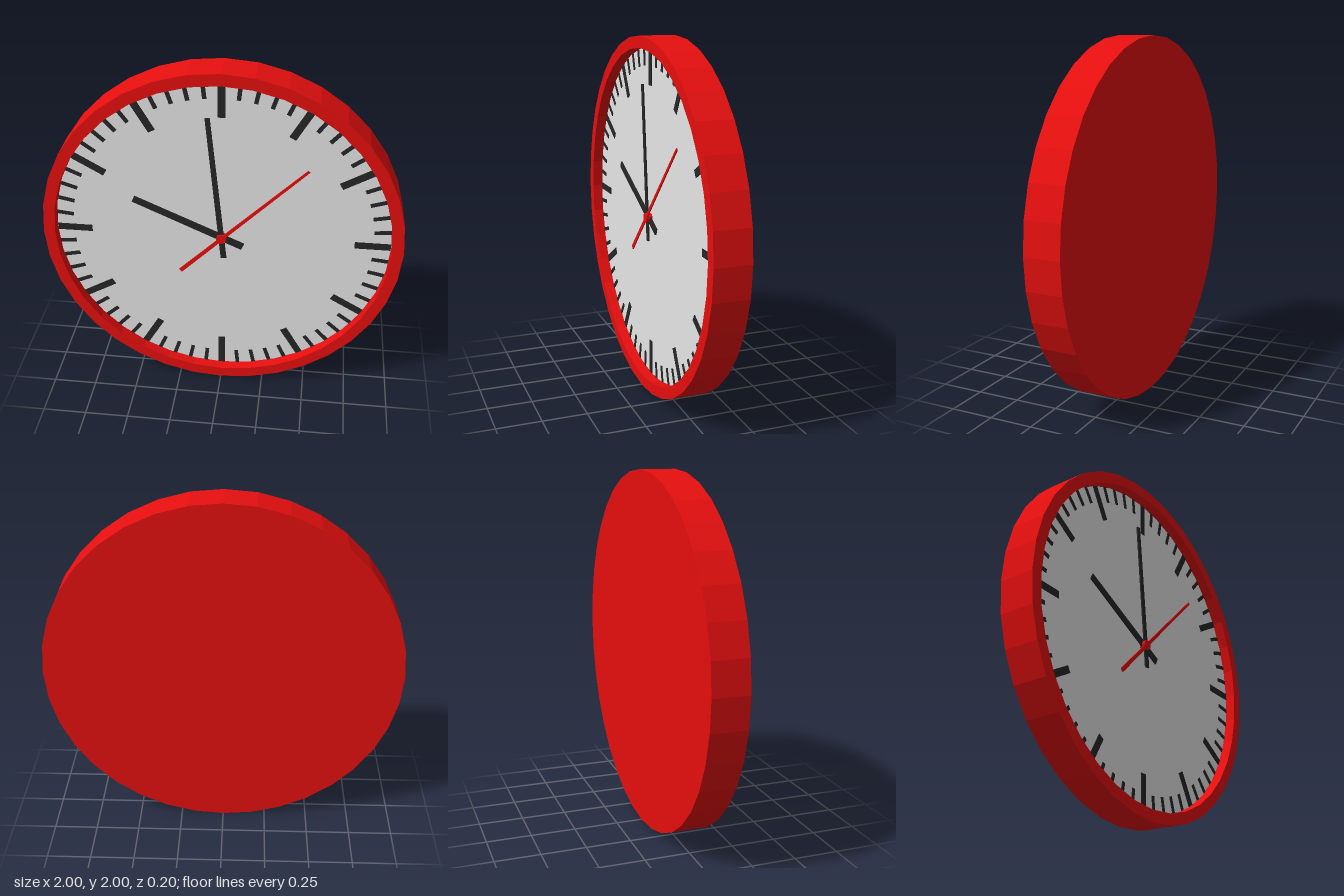
import * as THREE from 'three';

const RIM = 0.935;      // inner radius of the rim
const FACE_Z = 0.04;    // recessed dial plane
const SIDES = 36;

// Tapered bar pointing up (+y) from yBottom to yTop, extruded along +z
function bar(yBottom, yTop, wBottom, wTop, depth) {
  const s = new THREE.Shape([
    new THREE.Vector2(-wBottom / 2, yBottom),
    new THREE.Vector2(wBottom / 2, yBottom),
    new THREE.Vector2(wTop / 2, yTop),
    new THREE.Vector2(-wTop / 2, yTop),
  ]);
  return new THREE.ExtrudeGeometry(s, { depth, bevelEnabled: false });
}

export function createModel() {
  const mat = (name, color) => {
    const m = new THREE.MeshStandardMaterial({ color, flatShading: true });
    m.name = name;
    return m;
  };
  const red = mat('red', 0xe70f0f);
  const white = mat('dialWhite', 0xe7e7e7);
  const black = mat('black', 0x262626);

  const clock = new THREE.Group();
  clock.name = 'wallClock';
  clock.position.y = 1;

  const add = (parent, name, geometry, material, z = 0, angle = 0) => {
    const mesh = new THREE.Mesh(geometry, material);
    mesh.name = name;
    mesh.position.z = z;
    mesh.rotation.z = angle;
    parent.add(mesh);
    return mesh;
  };

  // Case: closed back, outer wall, front rim and inner wall
  const profile = [[0, -0.1], [1, -0.1], [1, 0.1], [RIM, 0.1], [RIM, FACE_Z]]
    .map(([r, y]) => new THREE.Vector2(r, y));
  add(clock, 'case', new THREE.LatheGeometry(profile, SIDES).rotateX(Math.PI / 2), red);

  // Dial
  add(clock, 'dial', new THREE.CircleGeometry(RIM, SIDES), white, FACE_Z);

  // Sixty marks, every fifth one long and wide
  const marks = new THREE.Group();
  marks.name = 'marks';
  clock.add(marks);
  const hourMark = bar(0.735, 0.932, 0.04, 0.04, 0.004);
  const minuteMark = bar(0.84, 0.932, 0.022, 0.022, 0.004);
  for (let i = 0; i < 60; i++) {
    const isHour = i % 5 === 0;
    add(marks, isHour ? 'hourMark' : 'minuteMark', isHour ? hourMark : minuteMark,
      black, FACE_Z, -i * Math.PI / 30);
  }

  // Hands, stacked towards the front
  const deg = THREE.MathUtils.degToRad;
  add(clock, 'hourHand', bar(-0.13, 0.535, 0.042, 0.038, 0.008), black, 0.048, deg(65.8));
  add(clock, 'minuteHand', bar(-0.13, 0.74, 0.032, 0.026, 0.008), black, 0.057, deg(5.6));
  add(clock, 'secondHand', bar(-0.33, 0.655, 0.024, 0.014, 0.006), red, 0.066, deg(-45));

  // Centre pin
  const pin = new THREE.CylinderGeometry(0.028, 0.028, 0.036, 12).rotateX(Math.PI / 2);
  add(clock, 'centrePin', pin, red, 0.057);

  const model = new THREE.Group();
  model.name = 'model';
  model.add(clock);
  return model;
}
